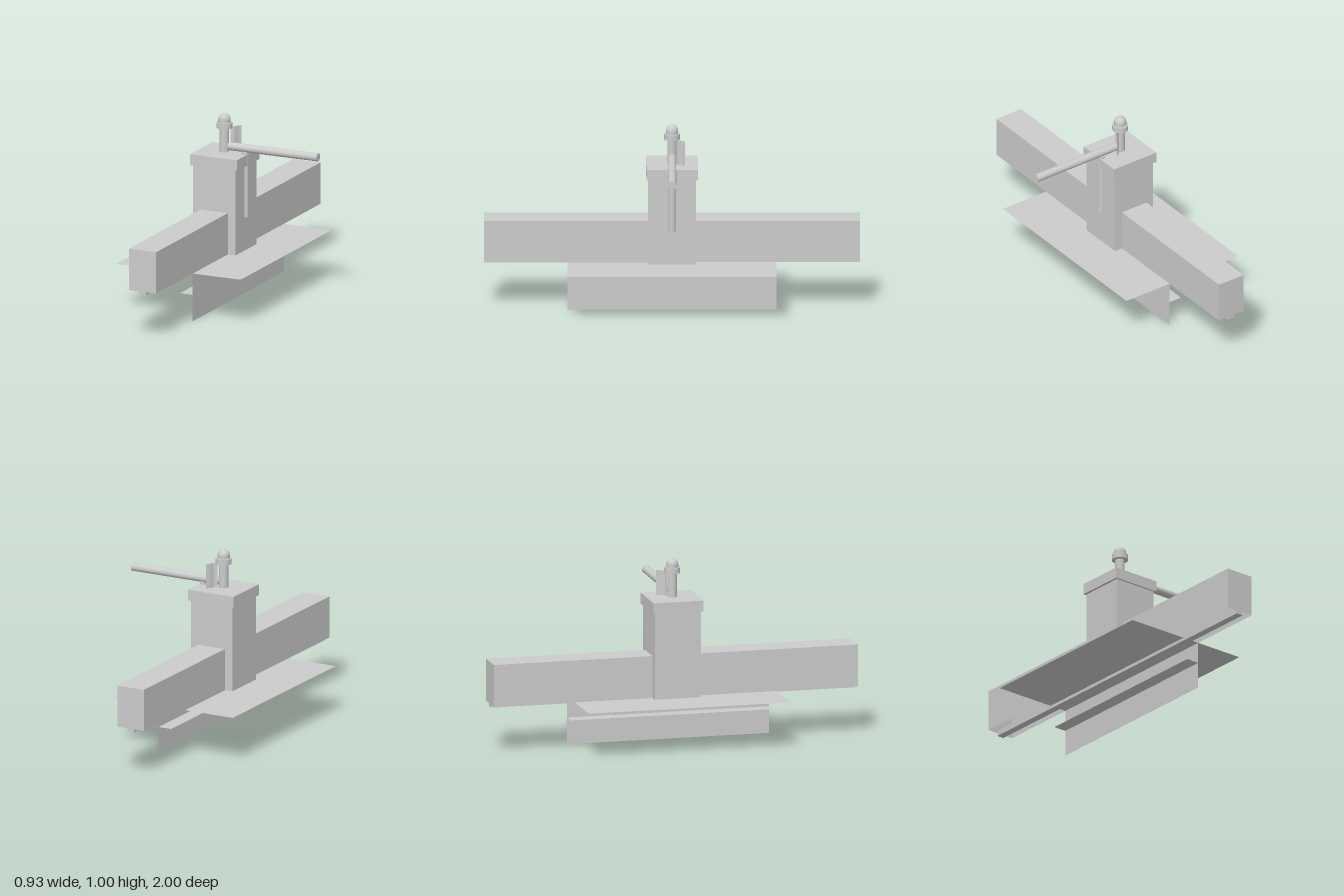
import * as THREE from 'three';

const mat = new THREE.MeshStandardMaterial({ color: 0xcccccc, side: THREE.DoubleSide });

export function createModel() {
  const model = new THREE.Group();
  const add = (name, geometry, x = 0, y = 0, z = 0) => {
    const mesh = new THREE.Mesh(geometry, mat);
    mesh.name = name;
    mesh.position.set(x, y, z);
    model.add(mesh);
    return mesh;
  };
  // box given by its lower and upper limits
  const box = (name, x0, x1, y0, y1, z0, z1) => add(name,
    new THREE.BoxGeometry(x1 - x0, y1 - y0, z1 - z0), (x0 + x1) / 2, (y0 + y1) / 2, (z0 + z1) / 2);
  // flat horizontal sheet
  const sheet = (name, x0, x1, y) =>
    add(name, new THREE.PlaneGeometry(x1 - x0, 1.11).rotateX(-Math.PI / 2), (x0 + x1) / 2, y, 0);

  // long hollow beam, open underneath
  const beam = box('beam', -0.175, -0.013, 0.262, 0.49, -1, 1);
  const index = Array.from(beam.geometry.index.array);
  index.splice(18, 6);
  beam.geometry.setIndex(index);
  beam.geometry.clearGroups();
  box('beamRail', -0.115, -0.074, 0.245, 0.275, -1, 1);

  // thin sheets under the beam
  sheet('plate', -0.465, 0.27, 0.262);
  sheet('lowerFlange', -0.088, -0.013, 0.145);
  add('hangingPanel', new THREE.PlaneGeometry(1.11, 0.262).rotateY(Math.PI / 2), -0.013, 0.131, 0);

  // tower and its cap
  box('tower', -0.22, 0.033, 0.262, 0.73, -0.127, 0.127);
  box('towerCap', -0.233, 0.045, 0.73, 0.79, -0.137, 0.137);

  // post with collar and dome
  const px = -0.095;
  add('post', new THREE.CylinderGeometry(0.025, 0.025, 0.135, 24), px, 0.8575, 0);
  add('collar', new THREE.CylinderGeometry(0.043, 0.043, 0.03, 24), px, 0.936, 0);
  add('domeBase', new THREE.CylinderGeometry(0.033, 0.033, 0.018, 24), px, 0.959, 0);
  add('dome', new THREE.SphereGeometry(0.033, 24, 10, 0, Math.PI * 2, 0, Math.PI / 2), px, 0.967, 0);

  // rods with a pointed end
  const rod = (name, r, length, tip) => {
    const group = new THREE.Group();
    group.name = name;
    const shaft = new THREE.Mesh(new THREE.CylinderGeometry(r, r, length, 24), mat);
    shaft.position.y = -length / 2;
    const point = new THREE.Mesh(new THREE.ConeGeometry(r, tip, 24, 1, true), mat);
    point.position.y = tip / 2;
    group.add(shaft, point);
    model.add(group);
    return group;
  };
  const handle = rod('handle', 0.022, 0.527, 0.02);
  handle.rotation.z = Math.PI / 2;
  handle.position.set(-0.067, 0.822, 0);
  rod('sideRod', 0.018, 0.357, 0.012).position.set(0.03, 0.802, 0);

  // thin curved guard beside the post
  const curve = new THREE.CatmullRomCurve3([[-0.07, -0.022], [-0.053, -0.03], [-0.042, -0.052], [-0.028, -0.07]]
    .map(([x, z]) => new THREE.Vector3(x, 0, z)));
  const guard = new THREE.PlaneGeometry(1, 0.135, 12, 1);
  const pos = guard.attributes.position;
  for (let i = 0; i < pos.count; i++) {
    const p = curve.getPoint(pos.getX(i) + 0.5);
    pos.setXYZ(i, p.x, pos.getY(i), p.z);
  }
  guard.computeVertexNormals();
  add('guard', guard, 0, 0.8575, 0);

  return model;
}
